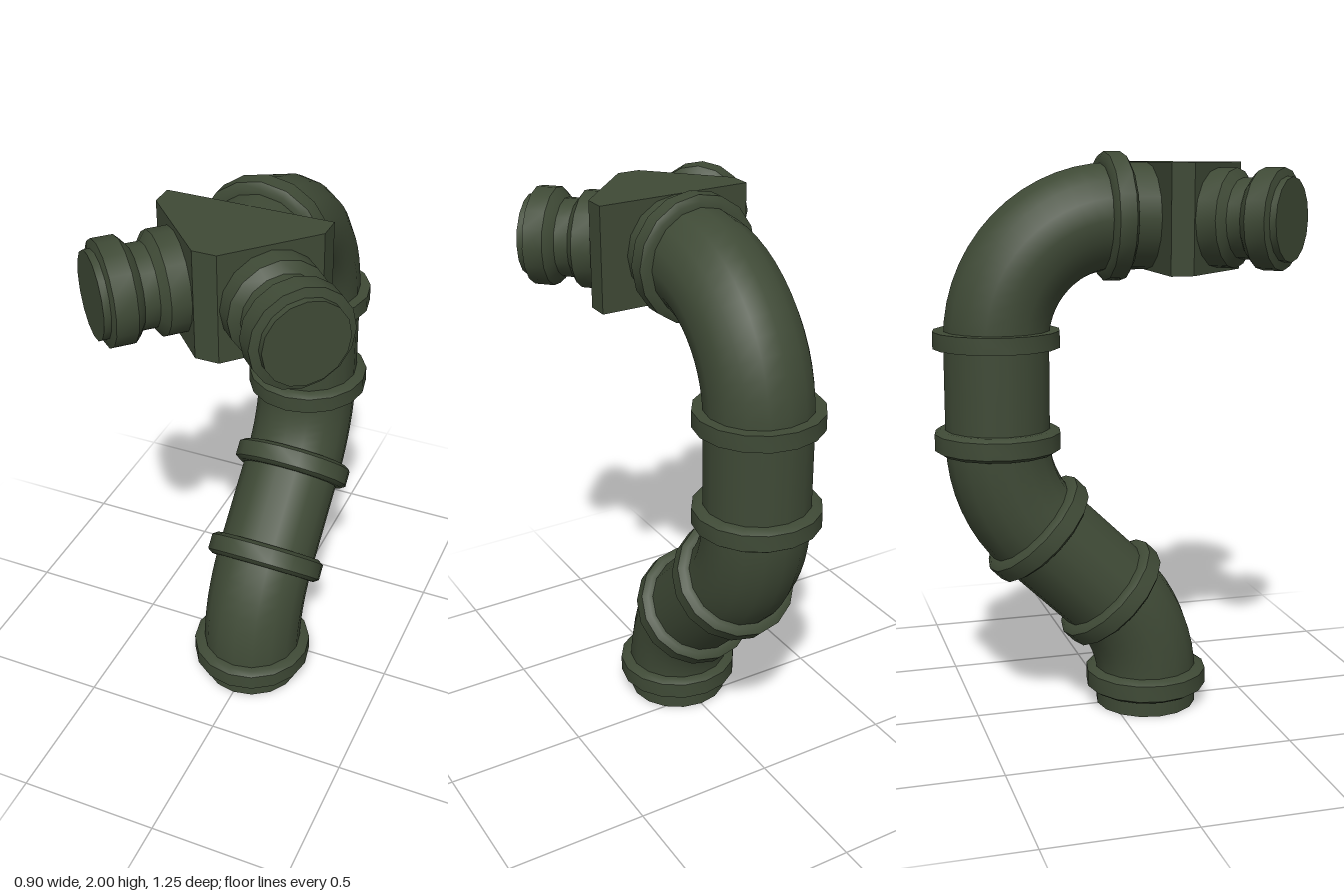
import * as THREE from 'three';
import { toCreasedNormals } from 'three/addons/utils/BufferGeometryUtils.js';

const SIDES = 16;
const PIPE_R = 0.183;

// Circular arc in the side plane (x = 0)
class ArcCurve extends THREE.Curve {
  constructor(z, y, radius, from, to) {
    super();
    Object.assign(this, { z, y, radius, from, to });
  }
  getPoint(t, target = new THREE.Vector3()) {
    const a = this.from + (this.to - this.from) * t;
    return target.set(0, this.y + this.radius * Math.sin(a), this.z + this.radius * Math.cos(a));
  }
}

const straight = (y0, z0, y1, z1) =>
  new THREE.LineCurve3(new THREE.Vector3(0, y0, z0), new THREE.Vector3(0, y1, z1));

// Turned part with crisp steps and a smooth circumference
function turned(profile) {
  const points = profile.map(([r, y]) => new THREE.Vector2(r, y));
  return toCreasedNormals(new THREE.LatheGeometry(points, SIDES), 0.6);
}

export function createModel() {
  const model = new THREE.Group();
  model.name = 'bentPipe';
  const paint = new THREE.MeshStandardMaterial({ color: 0x3f4a36, side: THREE.DoubleSide });
  paint.name = 'darkGreenPaint';

  const add = (name, geometry) => {
    const mesh = new THREE.Mesh(geometry, paint);
    mesh.name = name;
    model.add(mesh);
    return mesh;
  };

  // Pipe sections, from the open foot to the outlet block
  const PI = Math.PI;
  const sections = [
    ['footPipe', straight(0, 0.13, 0.1, 0.13), 1],
    ['lowerBend', new ArcCurve(-0.33, 0.1, 0.46, 0, PI / 4), 8],
    ['slantedPipe', straight(0.425, -0.005, 0.683, -0.272), 1],
    ['middleBend', new ArcCurve(0.06, 1.015, 0.47, PI * 1.25, PI), 8],
    ['uprightPipe', straight(1.015, -0.41, 1.365, -0.41), 1],
    ['upperBend', new ArcCurve(0, 1.365, 0.41, PI, PI / 2), 14],
    ['outletPipe', straight(1.775, 0, 1.775, 0.15), 1],
  ];
  for (const [name, path, steps] of sections) {
    add(name, new THREE.TubeGeometry(path, steps, PIPE_R, SIDES, false));
  }

  // Joint collars: height, depth, tilt
  const collar = turned([
    [0.175, -0.042], [0.2, -0.042], [0.22, -0.029], [0.22, 0.029], [0.2, 0.042], [0.175, 0.042],
  ]);
  const plainCollar = turned([[0.175, -0.029], [0.22, -0.029], [0.22, 0.029], [0.175, 0.029]]);
  const joints = [
    [0.1, 0.13, 0, collar],
    [0.425, -0.005, -PI / 4, collar],
    [0.685, -0.271, -PI / 4, collar],
    [1.015, -0.41, 0, collar],
    [1.368, -0.41, 0, plainCollar],
    [1.775, 0, PI / 2, collar],
  ];
  joints.forEach(([y, z, tilt, geometry], i) => {
    const ring = add(`jointCollar${i + 1}`, geometry);
    ring.position.set(0, y, z);
    ring.rotation.x = tilt;
  });

  // Outlet block with two angled front faces
  const outline = new THREE.Shape([
    [-0.28, 0.125], [0.28, 0.125], [0.28, 0.205], [0.04, 0.455], [-0.04, 0.455], [-0.28, 0.205],
  ].map(([x, z]) => new THREE.Vector2(x, z)));
  const blockGeometry = new THREE.ExtrudeGeometry(outline, { depth: 0.37, bevelEnabled: false });
  blockGeometry.rotateX(PI / 2);
  add('outletBlock', blockGeometry).position.y = 1.959;

  // Stepped, capped nozzles
  const nozzle = turned([
    [0.168, -0.01], [0.168, 0.068], [0.136, 0.092], [0.136, 0.14], [0.15, 0.15],
    [0.17, 0.17], [0.17, 0.24], [0.141, 0.247], [0.141, 0.27], [0, 0.27],
  ]);
  for (const side of [1, -1]) {
    const part = add(side > 0 ? 'leftNozzle' : 'rightNozzle', nozzle);
    part.position.set(side * 0.16, 1.773, 0.33);
    part.rotation.set(PI / 2, side * PI / 4, 0, 'YXZ');
  }

  return model;
}
